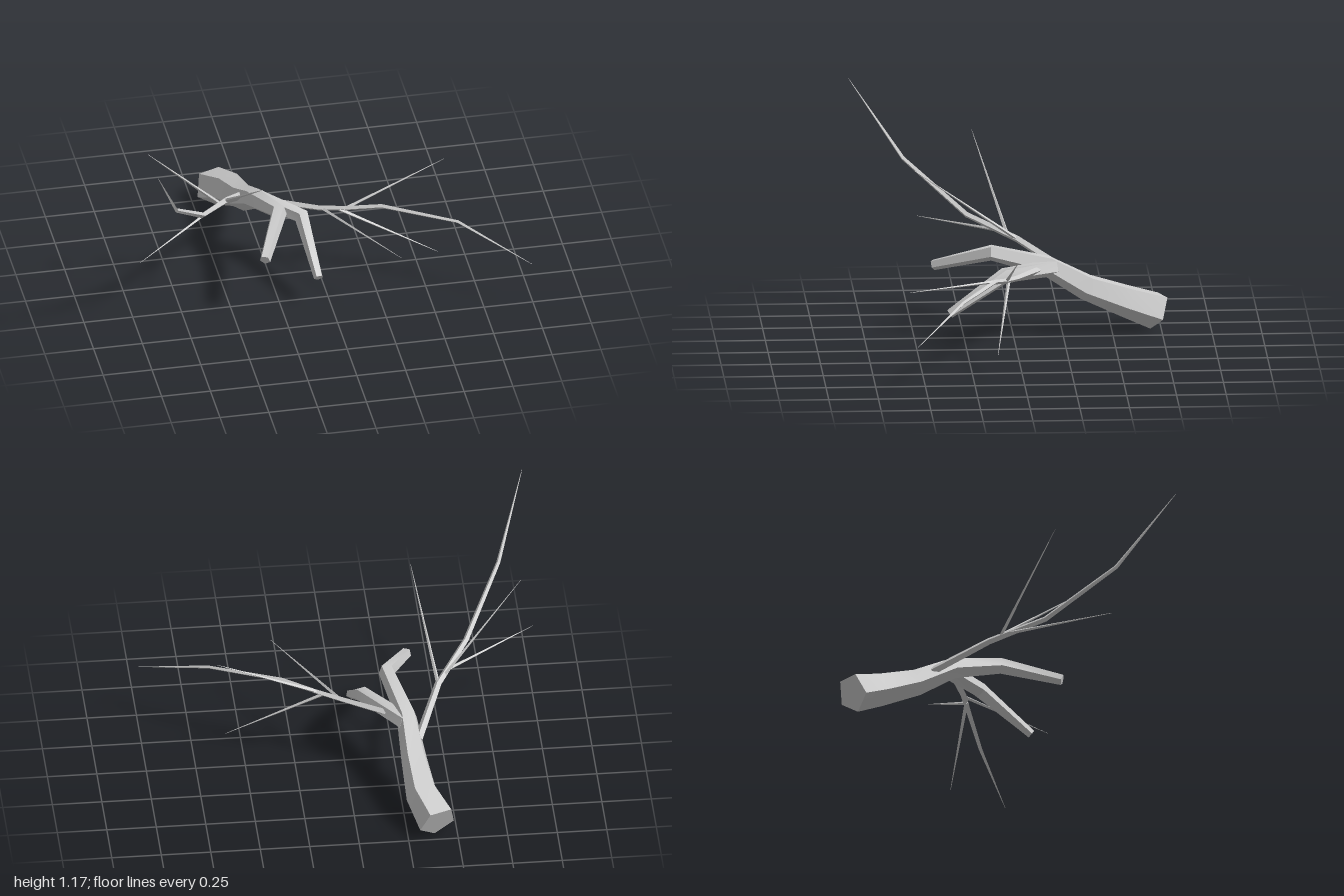
import * as THREE from 'three';
import { toCreasedNormals } from 'three/addons/utils/BufferGeometryUtils.js';

const material = new THREE.MeshStandardMaterial({ color: 0xcccccc });

// Tapered limb: a polygon ring at each [x, y, z, radius] stop, capped at both ends
function limb(name, stops, sides) {
  const points = stops.map(([x, y, z]) => new THREE.Vector3(x, y, z));
  const last = points.length - 1;
  const up = new THREE.Vector3(0, 1, 0);
  const positions = [];
  const index = [];

  points.forEach((p, i) => {
    const tangent = new THREE.Vector3();
    if (i > 0) tangent.add(p.clone().sub(points[i - 1]).normalize());
    if (i < last) tangent.add(points[i + 1].clone().sub(p).normalize());
    tangent.normalize();
    const side = new THREE.Vector3().crossVectors(up, tangent).normalize();
    const top = new THREE.Vector3().crossVectors(tangent, side);
    for (let j = 0; j < sides; j++) {
      const a = -Math.PI / 2 + (j / sides) * Math.PI * 2;
      const v = p.clone()
        .addScaledVector(side, Math.cos(a) * stops[i][3])
        .addScaledVector(top, Math.sin(a) * stops[i][3]);
      positions.push(v.x, v.y, v.z);
    }
  });

  for (let i = 0; i < last; i++) {
    for (let j = 0; j < sides; j++) {
      const a = i * sides + j;
      const b = i * sides + (j + 1) % sides;
      index.push(a, b, b + sides, a, b + sides, a + sides);
    }
  }
  const end = last * sides;
  for (let j = 1; j < sides - 1; j++) {
    index.push(0, j + 1, j);
    index.push(end, end + j, end + j + 1);
  }

  const geometry = new THREE.BufferGeometry();
  geometry.setAttribute('position', new THREE.Float32BufferAttribute(positions, 3));
  geometry.setIndex(index);
  const mesh = new THREE.Mesh(toCreasedNormals(geometry, 0.75), material);
  mesh.name = name;
  return mesh;
}

// Thin straight shoot running out to a point
const shoot = (name, from, to) => limb(name, [[...from, 0.01], [...to, 0.001]], 4);

export function createModel() {
  const model = new THREE.Group();
  model.name = 'brokenBranch';

  // Thick stem, rising from the cut end and bending down to a blunt tip
  model.add(limb('stem', [
    [-0.4, 0.09, -0.73, 0.1],
    [-0.338, 0.157, -0.575, 0.086],
    [-0.318, 0.237, -0.37, 0.069],
    [-0.3, 0.355, -0.17, 0.054],
    [-0.225, 0.443, 0.115, 0.042],
    [-0.352, 0.352, 0.4, 0.028],
  ], 5));

  // Blunt side fork
  model.add(limb('fork', [
    [-0.29, 0.345, -0.2, 0.045],
    [-0.092, 0.357, 0.05, 0.041],
    [-0.064, 0.168, 0.332, 0.024],
  ], 5));

  // Slender twig on the right with its shoots
  const rightTwig = new THREE.Group();
  rightTwig.name = 'rightTwig';
  rightTwig.add(
    limb('rightTwigStem', [
      [-0.345, 0.3, -0.29, 0.022],
      [-0.47, 0.45, -0.03, 0.018],
      [-0.635, 0.538, 0.215, 0.015],
      [-0.83, 0.787, 0.525, 0.011],
      [-0.977, 1.165, 0.79, 0.001],
    ], 4),
    shoot('rightFrontShoot', [-0.47, 0.45, -0.03], [-0.383, 0.83, 0.49]),
    shoot('rightLowShoot', [-0.53, 0.48, 0.05], [-1, 0.445, 0.445]),
    shoot('rightHighShoot', [-0.51, 0.47, 0.02], [-0.908, 0.91, 0.175]),
  );
  model.add(rightTwig);

  // Slender twig on the left with its shoots
  const leftTwig = new THREE.Group();
  leftTwig.name = 'leftTwig';
  leftTwig.add(
    limb('leftTwigStem', [
      [-0.2, 0.355, -0.12, 0.018],
      [0.01, 0.365, 0, 0.015],
      [0.14, 0.385, 0.057, 0.013],
      [0.3, 0.42, 0.125, 0.012],
      [0.655, 0.398, 0.308, 0.009],
      [0.985, 0.257, 0.55, 0.001],
    ], 4),
    shoot('leftHighShoot', [0.12, 0.38, 0.055], [0.64, 0.6, 0.027]),
    shoot('leftLowShoot', [0.1, 0.375, 0.045], [0.587, 0.113, 0.125]),
    shoot('leftFrontShoot', [0.02, 0.365, 0.005], [0.318, 0.375, 0.55]),
  );
  model.add(leftTwig);

  return model;
}
